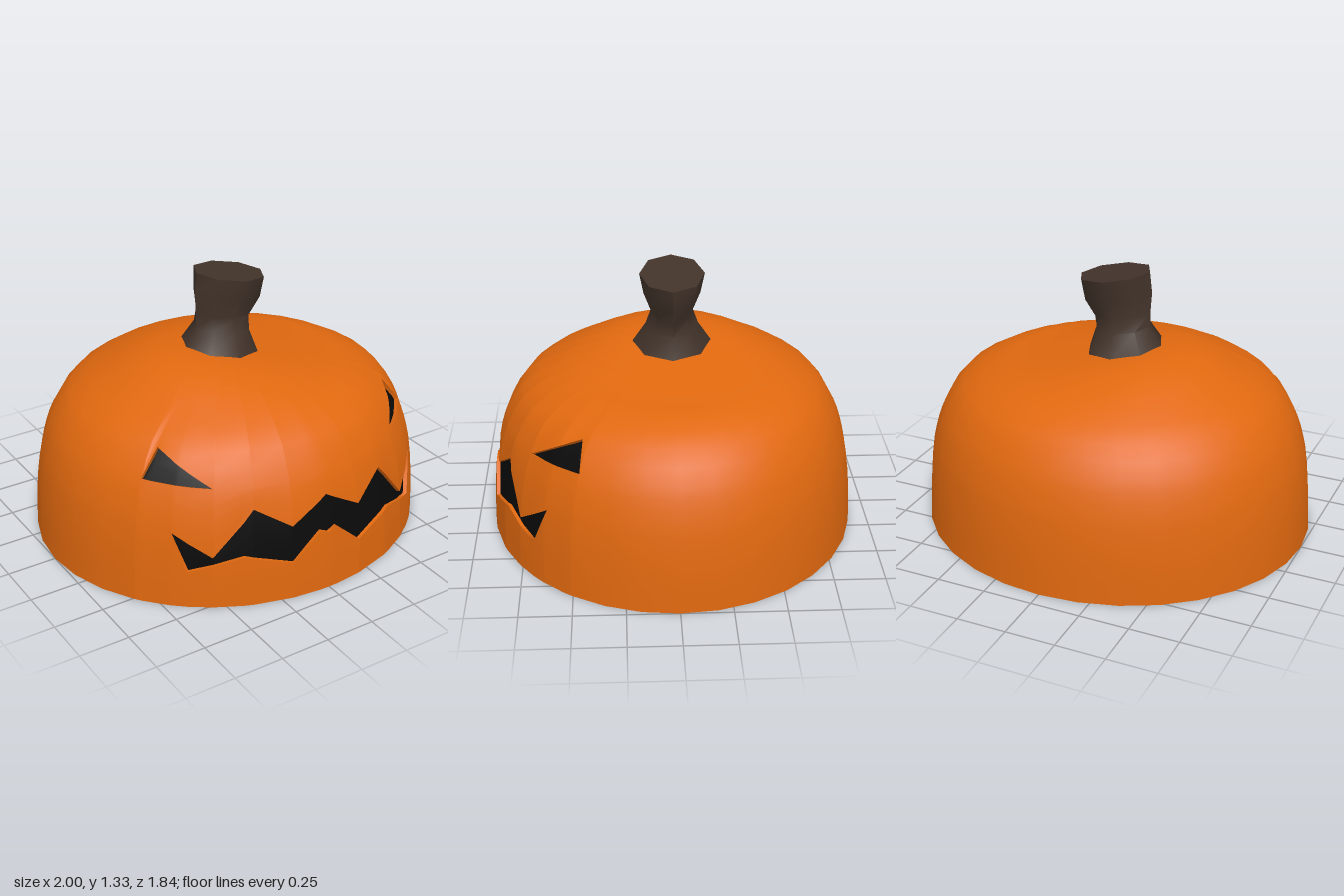
import * as THREE from 'three';
import { mergeVertices, toCreasedNormals } from 'three/addons/utils/BufferGeometryUtils.js';

const DEPTH = 0.92; // z squash of the dome
const WALL = 0.035; // shell thickness

// Dome profile from rim to apex: radius, height, lean of the top toward -x
const profile = new THREE.CatmullRomCurve3([
  [1, 0, 0], [0.99, 0.2, 0], [0.965, 0.4, 0], [0.9, 0.6, 0], [0.8, 0.74, 0],
  [0.62, 0.833, 0.012], [0.5, 0.873, 0.037], [0.35, 0.91, 0.047], [0.18, 0.925, 0.03], [0, 0.925, 0],
].map(p => new THREE.Vector3(...p)));

// Point on the shell at an angle (0 = front), profile parameter and inset from the outer skin
function shellPoint(angle, t, inset) {
  const p = profile.getPoint(t), d = profile.getTangent(t);
  const len = Math.hypot(d.x, d.y);
  const r = t > 0.999 ? 0 : Math.max(0, p.x - inset * d.y / len);
  const y = p.y + inset * d.x / len - p.z * Math.sin(angle);
  return new THREE.Vector3(r * Math.sin(angle), Math.max(0, y), DEPTH * r * Math.cos(angle));
}

function heightToT(y) {
  let lo = 0, hi = 0.8;
  for (let i = 0; i < 40; i++) {
    const mid = (lo + hi) / 2;
    if (profile.getPoint(mid).y < y) lo = mid; else hi = mid;
  }
  return lo;
}

// Edge of a cut-out, given for +x as seen from the front and mirrored, as [angle, t] points
function cutLine(half) {
  const right = half.map(([x, y]) => {
    const t = heightToT(y);
    return [Math.asin(x / profile.getPoint(t).x), t];
  });
  const left = right.filter(p => p[0] > 0).map(([a, t]) => [-a, t]);
  return [...left, ...right].sort((a, b) => a[0] - b[0]);
}

function lineAt(line, a) {
  if (a <= line[0][0]) return line[0][1];
  for (let i = 1; i < line.length; i++) {
    const [a0, t0] = line[i - 1], [a1, t1] = line[i];
    if (a <= a1) return t0 + (t1 - t0) * (a - a0) / (a1 - a0);
  }
  return line[line.length - 1][1];
}

const mouthBottom = cutLine([[0, 0.3], [0.045, 0.32], [0.19, 0.19], [0.42, 0.26], [0.65, 0.19], [0.7, 0.39]]);
const mouthTop = cutLine([[0, 0.49], [0.19, 0.38], [0.36, 0.49], [0.55, 0.265], [0.7, 0.39]]);
const eyeBottom = cutLine([[0.51, 0.59], [0.75, 0.605]]);
const eyeTop = cutLine([[0.51, 0.59], [0.65, 0.735], [0.75, 0.605]]);
const cuts = [mouthBottom, mouthTop, eyeBottom, eyeTop];

// Columns pass through every corner of the face
const columns = [];
for (let i = 0; i <= 32; i++) columns.push(-Math.PI + i * Math.PI / 16);
cuts.forEach(line => line.forEach(p => columns.push(p[0])));
columns.sort((a, b) => a - b);

const rows = a => [0, ...cuts.map(line => lineAt(line, a)), 1];

function makeQuads(list) {
  const pos = [];
  const tri = new THREE.Triangle();
  for (const [a, b, c, d] of list)
    for (const f of [[a, b, c], [a, c, d]])
      if (tri.set(...f).getArea() > 1e-7) f.forEach(v => pos.push(v.x, v.y, v.z));
  const g = new THREE.BufferGeometry();
  g.setAttribute('position', new THREE.Float32BufferAttribute(pos, 3));
  const merged = mergeVertices(g);
  merged.computeVertexNormals();
  return merged;
}

// Skin covering the given bands between the row lines
function skin(bands, inset, inward) {
  const list = [];
  for (let i = 1; i < columns.length; i++) {
    const a0 = columns[i - 1], a1 = columns[i];
    if (a1 - a0 < 1e-6) continue;
    const r0 = rows(a0), r1 = rows(a1);
    for (const [band, n] of bands) {
      const at = (a, r, k) => shellPoint(a, r[band] + (r[band + 1] - r[band]) * k / n, inset);
      for (let k = 0; k < n; k++) {
        const q = [at(a0, r0, k), at(a1, r1, k), at(a1, r1, k + 1), at(a0, r0, k + 1)];
        list.push(inward ? q.reverse() : q);
      }
    }
  }
  return makeQuads(list);
}

// Wall through the shell along one row line, only where its cut is open
function cutWall(row, other) {
  const list = [];
  for (let i = 1; i < columns.length; i++) {
    const a0 = columns[i - 1], a1 = columns[i], r0 = rows(a0), r1 = rows(a1);
    const open = Math.abs(r0[row] - r0[other]) + Math.abs(r1[row] - r1[other]) > 1e-5;
    if (a1 - a0 < 1e-6 || (!open && row !== 0)) continue;
    list.push([shellPoint(a0, r0[row], 0), shellPoint(a1, r1[row], 0),
      shellPoint(a1, r1[row], WALL), shellPoint(a0, r0[row], WALL)]);
  }
  return makeQuads(list);
}

// Eight-sided stem: centre x, height, x radius, z radius, slope per ring
function stemGeometry() {
  const rings = [
    [-0.04, 0.915, 0.2, 0.205, -0.13], [-0.025, 1.03, 0.145, 0.13, -0.15], [-0.02, 1.1, 0.15, 0.105, -0.15],
    [0.005, 1.2, 0.183, 0.14, -0.16], [0.018, 1.305, 0.184, 0.16, -0.16],
  ];
  const g = new THREE.CylinderGeometry(1, 1, 1, 8, 4);
  const p = g.attributes.position;
  for (let i = 0; i < p.count; i++) {
    const [cx, y, rx, rz, slope] = rings[Math.round((p.getY(i) + 0.5) * 4)];
    const dx = p.getX(i) * rx;
    p.setXYZ(i, cx + dx, y + slope * dx, p.getZ(i) * rz);
  }
  return toCreasedNormals(g, 0.9);
}

export function createModel() {
  const model = new THREE.Group();
  const orange = new THREE.MeshStandardMaterial({ color: 0xe0680f });
  const orangeThin = new THREE.MeshStandardMaterial({ color: 0xe0680f, side: THREE.DoubleSide });
  const black = new THREE.MeshStandardMaterial({ color: 0x0a0a0a, side: THREE.DoubleSide });
  const brown = new THREE.MeshStandardMaterial({ color: 0x42332a });
  const add = (name, geometry, material) => {
    const mesh = new THREE.Mesh(geometry, material);
    mesh.name = name;
    model.add(mesh);
  };

  // Hollow shell with open face
  const solidBands = [[0, 4], [2, 4], [4, 12]];
  add('outerShell', skin(solidBands, 0, false), orange);
  add('innerShell', skin(solidBands, WALL, true), orange);
  add('bottomRim', cutWall(0, 0), orangeThin);
  [[1, 2], [2, 1]].forEach(([a, b]) => add('mouthEdge', cutWall(a, b), orangeThin));
  [[3, 4], [4, 3]].forEach(([a, b]) => add('eyeEdge', cutWall(a, b), orangeThin));

  // Dark panels set into the openings
  add('mouth', skin([[1, 2]], 0.02, false), black);
  add('eyes', skin([[3, 2]], 0.02, false), black);

  add('stem', stemGeometry(), brown);
  return model;
}
